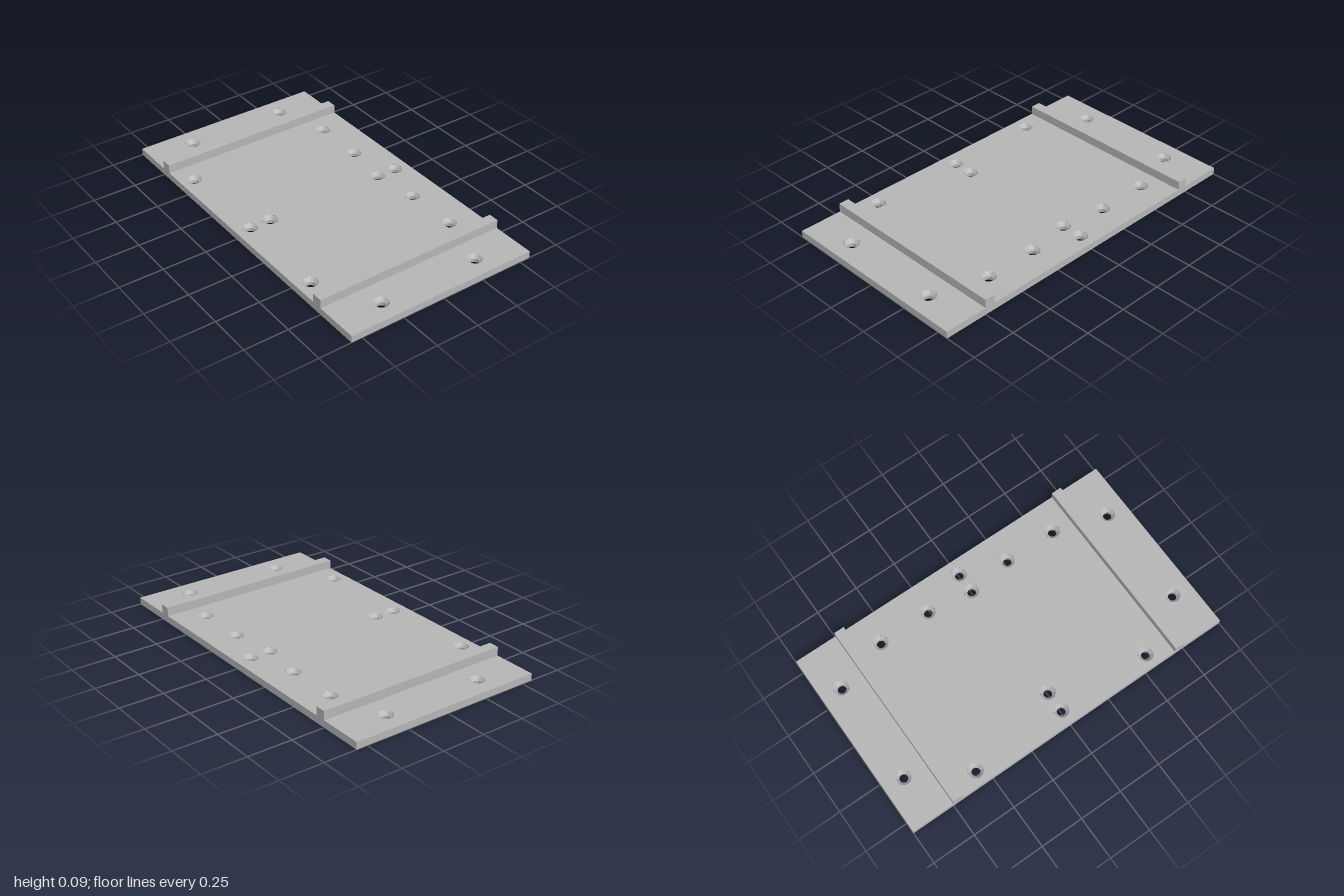
import * as THREE from 'three';
import { mergeGeometries, toCreasedNormals } from 'three/addons/utils/BufferGeometryUtils.js';

const WIDTH = 2, DEPTH = 1.126, THICK = 0.04;
const RIB_X = 0.72, RIB_WIDTH = 0.06, RIB_HEIGHT = 0.05;
const BORE = 0.024, SINK = 0.042, SINK_START = 0.02, SEGMENTS = 32;

// Hole centres as [x, z]; those off the centre line are mirrored
const paired = [[0.882, -0.297], [0.882, 0.297], [0.57, -0.392], [0.263, -0.392], [0.555, 0.484]];
const central = [[0, -0.477], [0, -0.357], [0, 0.355], [0, 0.477]];
const holes = [...central, ...paired, ...paired.map(([x, z]) => [-x, z])];

// Flat rectangle pierced by every hole, facing up (side 1) or down (side -1)
function piercedFace(radius, y, side) {
  const w = WIDTH / 2, d = DEPTH / 2;
  const shape = new THREE.Shape([
    new THREE.Vector2(-w, -d), new THREE.Vector2(w, -d),
    new THREE.Vector2(w, d), new THREE.Vector2(-w, d),
  ]);
  for (const [x, z] of holes) {
    shape.holes.push(new THREE.Path().absarc(x, -side * z, radius, 0, Math.PI * 2, true));
  }
  return new THREE.ShapeGeometry(shape, SEGMENTS / 2 * 2)
    .rotateX(-side * Math.PI / 2).translate(0, y, 0);
}

// Outer walls of the plate
function edgeWalls() {
  return [0, 1, 2, 3].map((i) => {
    const length = i % 2 ? DEPTH : WIDTH, offset = (i % 2 ? WIDTH : DEPTH) / 2;
    return new THREE.PlaneGeometry(length, THICK)
      .translate(0, THICK / 2, offset).rotateY(i * Math.PI / 2);
  });
}

export function createModel() {
  const group = new THREE.Group();
  group.name = 'mountingPlate';
  const grey = new THREE.MeshStandardMaterial({ color: 0xb4b4b4 });
  grey.name = 'grey';

  const add = (name, geometry, x = 0, y = 0, z = 0) => {
    const mesh = new THREE.Mesh(geometry, grey);
    mesh.name = name;
    mesh.position.set(x, y, z);
    group.add(mesh);
  };

  // Base plate, with wide openings above and narrow ones below
  add('basePlate', mergeGeometries([
    piercedFace(SINK, THICK, 1), piercedFace(BORE, 0, -1), ...edgeWalls(),
  ]));

  // Countersunk screw holes: cone above a straight bore, facing inward
  const profile = [[SINK, THICK], [BORE, SINK_START], [BORE, 0]]
    .map(([r, y]) => new THREE.Vector2(r, y));
  const holeWall = toCreasedNormals(new THREE.LatheGeometry(profile, SEGMENTS), 0.5);
  for (const [x, z] of holes) add('screwHole', holeWall, x, 0, z);

  // Raised guide ribs running front to back
  const rib = new THREE.BoxGeometry(RIB_WIDTH, RIB_HEIGHT, DEPTH);
  for (const side of [1, -1]) {
    add(side > 0 ? 'leftRib' : 'rightRib', rib, side * RIB_X, THICK + RIB_HEIGHT / 2);
  }
  return group;
}
